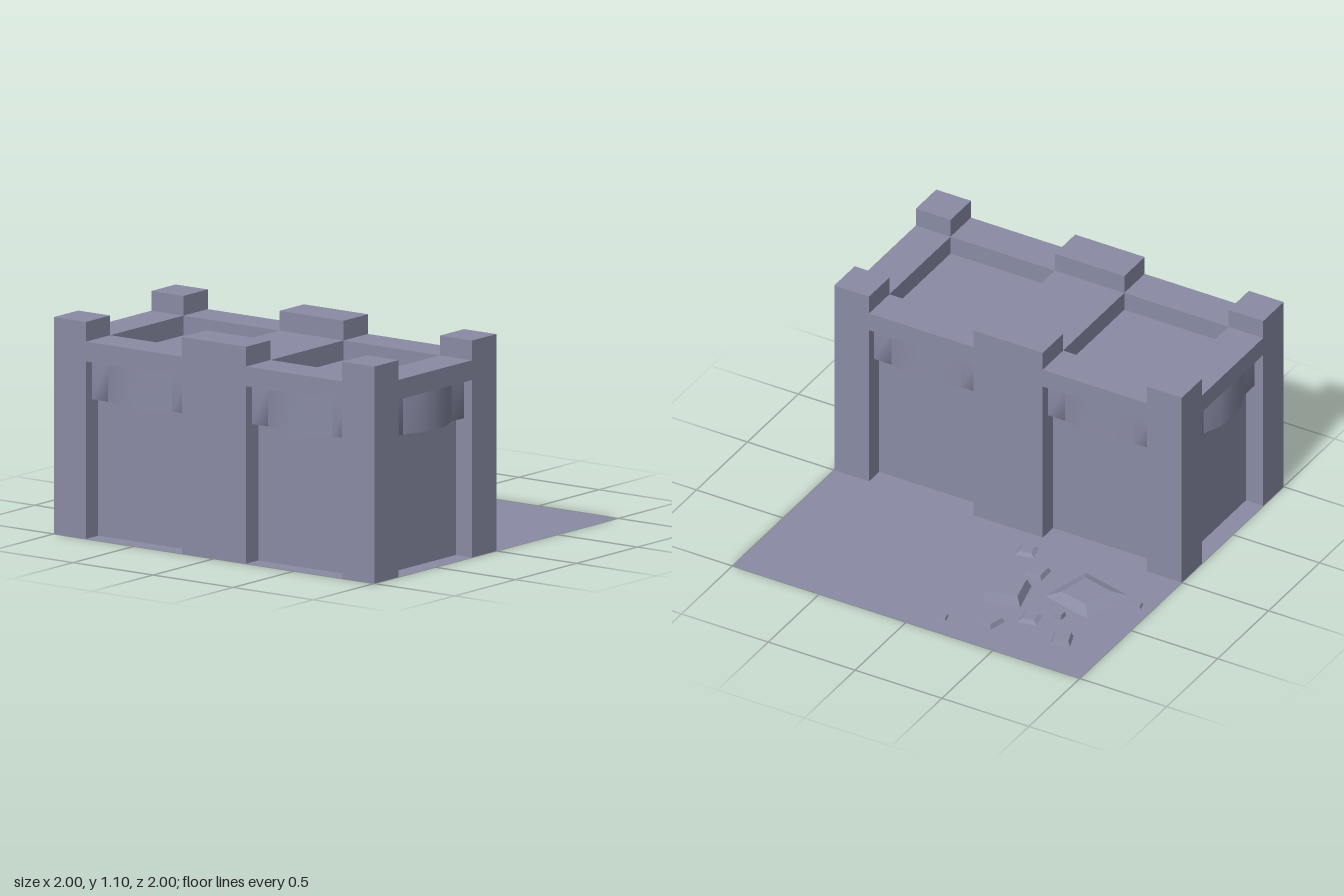
import * as THREE from 'three';

const stone = new THREE.MeshStandardMaterial({ color: 0x8a8ca6, side: THREE.DoubleSide });
stone.name = 'slate stone';

function add(parent, name, geometry, x = 0, y = 0, z = 0) {
  const mesh = new THREE.Mesh(geometry, stone);
  mesh.name = name;
  mesh.position.set(x, y, z);
  parent.add(mesh);
  return mesh;
}

// Box given by its limits on each axis
function block(parent, name, [x0, x1], [y0, y1], [z0, z1]) {
  const g = new THREE.BoxGeometry(x1 - x0, y1 - y0, z1 - z0);
  return add(parent, name, g, (x0 + x1) / 2, (y0 + y1) / 2, (z0 + z1) / 2);
}

// Surface through rows of points, rows from bottom to top, points left to right
function sheet(rows, smooth) {
  const n = rows[0].length, index = [];
  for (let r = 0; r < rows.length - 1; r++) {
    for (let i = 0; i < n - 1; i++) {
      const a = r * n + i, b = a + 1, c = b + n, d = a + n;
      index.push(a, b, c, a, c, d);
    }
  }
  let g = new THREE.BufferGeometry();
  g.setAttribute('position', new THREE.Float32BufferAttribute(rows.flat(2), 3));
  g.setIndex(index);
  if (!smooth) g = g.toNonIndexed();
  g.computeVertexNormals();
  return g;
}

// One wall bay, one unit wide, outer face on local z = 0
function wallBay() {
  const bay = new THREE.Group();
  bay.name = 'wallBay';
  const plan = [[-0.5, 0], [-0.3, 0], [-0.3, -0.1], [0.3, -0.1], [0.3, 0], [0.5, 0]];
  add(bay, 'recessedWall', sheet([0, 0.9].map((y) => plan.map(([x, z]) => [x, y, z])), false));

  // Floor of the recess
  add(bay, 'recessFloor', sheet([0, -0.1].map((z) => [[-0.3, 0, z], [0.3, 0, z]]), false));

  // Bowed hood under the parapet with a straight piece at each end
  const bow = [[-0.2, -0.05], [-0.1, -0.008], [0, 0], [0.1, -0.008], [0.2, -0.05]];
  add(bay, 'hoodFront', sheet([0.7, 0.9].map((y) => bow.map(([x, z]) => [x, y, z])), true));
  add(bay, 'hoodUnderside', sheet([
    bow.map(([x]) => [x, 0.7, -0.1]),
    bow.map(([x, z]) => [x, 0.7, z]),
  ], false));
  for (const x of [-0.3, 0.2]) {
    const rows = [[0.7, -0.1], [0.7, -0.05], [0.9, -0.05]];
    add(bay, 'hoodEnd', sheet(rows.map(([y, z]) => [[x, y, z], [x + 0.1, y, z]]), true));
  }

  // Parapet between the pillars
  block(bay, 'parapet', [-0.3, 0.3], [0.9, 1], [-0.2, 0]);
  return bay;
}

// Low broken stone with a square foot
function rubble(parent, [x, z, size, height, turn, taper]) {
  const r = size * Math.SQRT1_2;
  const g = new THREE.CylinderGeometry(r * taper, r, height, 4, 1).toNonIndexed();
  g.rotateY(Math.PI / 4);
  g.computeVertexNormals();
  add(parent, 'rubbleStone', g, x, height / 2, z).rotation.y = turn;
}

export function createModel() {
  const model = new THREE.Group();
  model.name = 'ruinedWallCourt';

  // Keep: six bays around a 1 x 2 plan
  const keep = new THREE.Group();
  keep.name = 'keep';
  model.add(keep);
  const bays = [
    [-0.5, 1, 0], [-0.5, -1, Math.PI],
    [0, 0.5, Math.PI / 2], [0, -0.5, Math.PI / 2],
    [-1, 0.5, -Math.PI / 2], [-1, -0.5, -Math.PI / 2],
  ];
  for (const [x, z, turn] of bays) {
    const bay = wallBay();
    bay.position.set(x, 0, z);
    bay.rotation.y = turn;
    keep.add(bay);
  }

  // Pillar tops: four corners and two wide middle ones
  for (const xs of [[-1, -0.8], [-0.2, 0]]) {
    for (const zs of [[-1, -0.8], [-0.2, 0.2], [0.8, 1]]) block(keep, 'pillarTop', xs, [0.9, 1.1], zs);
  }

  // Sunken roofs and the bridge between them
  block(keep, 'roofBridge', [-0.8, -0.2], [0.9, 1], [-0.2, 0.2]);
  for (const z of [-0.5, 0.5]) {
    add(keep, 'sunkenRoof', new THREE.PlaneGeometry(0.6, 0.6).rotateX(-Math.PI / 2), -0.5, 0.9, z);
  }

  // Courtyard ground
  add(model, 'ground', new THREE.PlaneGeometry(1, 2).rotateX(-Math.PI / 2), 0.5, 0, 0);

  // Rubble: x, z, size, height, turn, taper
  const stones = [
    [0.34, -0.65, 0.29, 0.025, -0.24, 0.6],
    [0.525, -0.3, 0.2, 0.05, 0.24, 0.8],
    [0.29, -0.34, 0.1, 0.025, 0, 0.8],
    [0.785, -0.36, 0.1, 0.025, -0.24, 0.8],
    [0.75, -0.75, 0.1, 0.025, 0.35, 0.8],
    [0.66, -0.515, 0.1, 0.014, 0.2, 0.6],
    [0.145, -0.195, 0.1, 0.014, 0.24, 0.6],
    [0.57, -0.63, 0.05, 0.025, 0, 0.8],
    [0.295, -0.915, 0.05, 0.014, 0.24, 0.8],
    [0.875, -0.135, 0.05, 0.014, 0.24, 0.8],
  ];
  stones.forEach((s) => rubble(model, s));
  return model;
}
